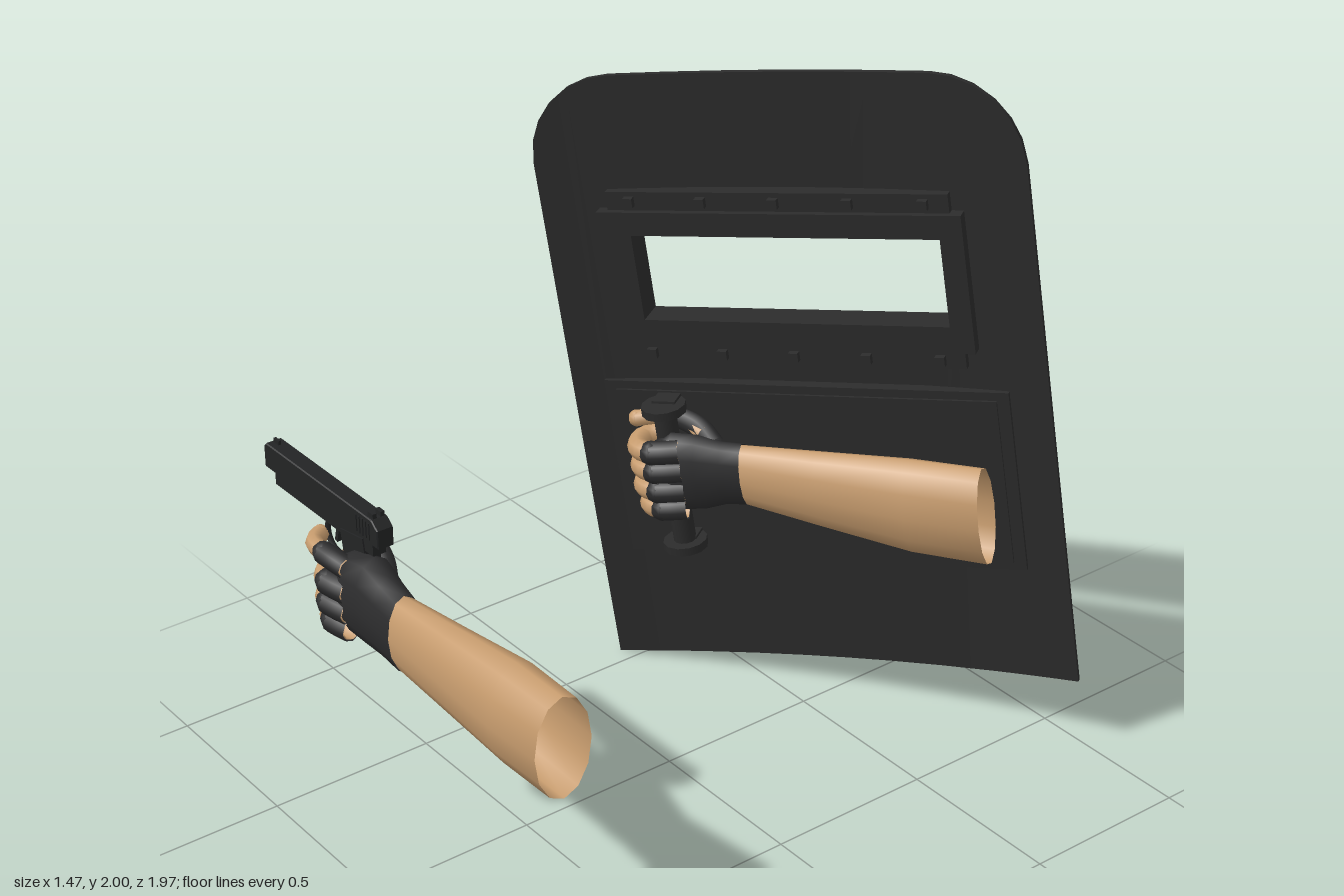
import * as THREE from 'three';
import { mergeGeometries, toCreasedNormals } from 'three/addons/utils/BufferGeometryUtils.js';

const mat = (name, color, side = THREE.FrontSide) => {
  const m = new THREE.MeshStandardMaterial({ color, side });
  m.name = name;
  return m;
};
const shieldMat = mat('shield black', 0x2b2b2b);
const gunMat = mat('gunmetal', 0x232425);
const gloveMat = mat('glove black', 0x2d2d2e, THREE.DoubleSide);
const skinMat = mat('skin', 0xc79c6e, THREE.DoubleSide);

function add(parent, name, geo, material) {
  const mesh = new THREE.Mesh(geo, material);
  mesh.name = name;
  parent.add(mesh);
  return mesh;
}

// Box given by its minimum and maximum on each axis
function block(parent, name, m, x0, x1, y0, y1, z0, z1) {
  const geo = new THREE.BoxGeometry(x1 - x0, y1 - y0, z1 - z0);
  geo.translate((x0 + x1) / 2, (y0 + y1) / 2, (z0 + z1) / 2);
  return add(parent, name, geo, m);
}

// Tube of elliptical sections [x, centre y, centre z, radius y, radius z]
function loft(sections, sides = 12, capFirst = false) {
  const pos = [], idx = [];
  for (const [x, cy, cz, ry, rz] of sections) {
    for (let i = 0; i < sides; i++) {
      const a = (i / sides) * Math.PI * 2;
      pos.push(x, cy + Math.cos(a) * ry, cz + Math.sin(a) * rz);
    }
  }
  for (let s = 0; s < sections.length - 1; s++) {
    for (let i = 0; i < sides; i++) {
      const a = s * sides + i, b = s * sides + (i + 1) % sides;
      idx.push(a, b, a + sides, b, b + sides, a + sides);
    }
  }
  if (capFirst) for (let i = 1; i < sides - 1; i++) idx.push(0, i + 1, i);
  const geo = new THREE.BufferGeometry();
  geo.setAttribute('position', new THREE.Float32BufferAttribute(pos, 3));
  geo.setIndex(idx);
  geo.computeVertexNormals();
  return geo;
}

// Rounded finger following points
function finger(parent, name, points, radius, material) {
  const pts = points.map(p => new THREE.Vector3(...p));
  add(parent, name, new THREE.TubeGeometry(new THREE.CatmullRomCurve3(pts), 12, radius, 8), material);
  const tip = add(parent, name + 'Tip', new THREE.SphereGeometry(radius, 8, 6), material);
  tip.position.copy(pts[pts.length - 1]);
}

// Fist closed round an upright bar at the origin; forearm runs to +x
function makeArm(name, { glove, forearm, fingerHeights, index }) {
  const arm = new THREE.Group();
  arm.name = name;
  add(arm, 'glove', loft(glove, 12, true), gloveMat);
  add(arm, 'forearm', loft(forearm, 12), skinMat);
  fingerHeights.forEach((y, i) => {
    const k = i === 0 ? 0.9 : 1;
    const curl = [[0.05, 0.065], [-0.03, 0.08], [-0.085, 0.045], [-0.085, -0.025], [-0.035, -0.052]];
    const path = curl.map(([x, z]) => [x * k, y, z * k]);
    finger(arm, 'finger', path, 0.031, skinMat);
    finger(arm, 'fingerSleeve', [path[0], [0.01, y, 0.074 * k], path[1]], 0.036, gloveMat);
  });
  if (index) {
    finger(arm, 'indexFinger', [[0.04, 0.1, 0.06], [-0.06, 0.105, 0.07], [-0.12, 0.105, 0.06], [-0.155, 0.1, 0.02]], 0.025, skinMat);
    finger(arm, 'indexSleeve', [[0.04, 0.1, 0.06], [-0.01, 0.104, 0.067], [-0.06, 0.105, 0.07]], 0.031, gloveMat);
  }
  finger(arm, 'thumb', [[0.1, 0.08, -0.01], [0.03, 0.11, -0.045], [-0.05, 0.115, -0.045], [-0.11, 0.11, -0.035]], 0.025, skinMat);
  finger(arm, 'thumbSleeve', [[0.13, 0.05, 0], [0.08, 0.09, -0.03], [0.02, 0.112, -0.046]], 0.033, gloveMat);
  return arm;
}

function makeShield() {
  const shield = new THREE.Group();
  shield.name = 'shield';
  const W = 1.417, H = 1.845, R = 0.25, T = 0.015;
  const win = { x0: 0.265, x1: 1.16, y0: 1.125, y1: 1.385 };
  const bend = x => -0.045 * (1 - ((x - W / 2) / (W / 2)) ** 2);
  const top = x => {
    const d = Math.max(0, R - Math.min(x, W - x));
    return H - R + Math.sqrt(Math.max(0, R * R - d * d));
  };

  // Curved sheet with rounded top corners, made of upright strips around the window
  const cols = [0, 0.01, 0.035, 0.075, 0.13, 0.19, 0.25, win.x0, 0.42, 0.58, W / 2];
  const xs = [...cols, 0.84, 1, win.x1, ...cols.slice(0, 7).reverse().map(x => W - x)].sort((a, b) => a - b);
  const parts = [];
  const strip = (x0, x1, b, t0, t1) => {
    const s = new THREE.Shape([[x0, b], [x1, b], [x1, t1], [x0, t0]].map(p => new THREE.Vector2(...p)));
    parts.push(new THREE.ExtrudeGeometry(s, { depth: T, bevelEnabled: false }));
  };
  for (let i = 0; i < xs.length - 1; i++) {
    const a = xs[i], b = xs[i + 1];
    if (a >= win.x0 && b <= win.x1) {
      strip(a, b, 0, win.y0, win.y0);
      strip(a, b, win.y1, top(a), top(b));
    } else strip(a, b, 0, top(a), top(b));
  }
  const sheet = mergeGeometries(parts);
  const p = sheet.attributes.position;
  for (let i = 0; i < p.count; i++) p.setZ(i, p.getZ(i) - T + bend(p.getX(i)));
  add(shield, 'shieldSheet', toCreasedNormals(sheet, 0.5), shieldMat);

  // Deep window frame
  const rect = (S, x0, x1, y0, y1) => new S([[x0, y0], [x1, y0], [x1, y1], [x0, y1]].map(q => new THREE.Vector2(...q)));
  const outline = rect(THREE.Shape, 0.17, 1.225, 1.045, 1.455);
  outline.holes.push(rect(THREE.Path, win.x0, win.x1, win.y0, win.y1));
  const frame = new THREE.ExtrudeGeometry(outline, { depth: 0.09, bevelEnabled: false });
  add(shield, 'windowFrame', frame.translate(0, 0, -0.075), shieldMat);

  // Bolted rails above and below the window
  for (const [y0, y1] of [[1.455, 1.51], [0.99, 1.045]]) {
    block(shield, 'windowRail', shieldMat, 0.2, 1.19, y0, y1, -0.066, -0.002);
    for (let i = 0; i < 5; i++) {
      const x = 0.27 + i * 0.2125, y = (y0 + y1) / 2;
      block(shield, 'railBolt', shieldMat, x - 0.014, x + 0.014, y - 0.014, y + 0.014, -0.002, 0.016);
    }
  }

  // Lower pad
  block(shield, 'padBase', shieldMat, 0.1, 1.3, 0.36, 0.92, -0.034, -0.002);
  block(shield, 'padFace', shieldMat, 0.135, 1.265, 0.385, 0.895, -0.002, 0.005);

  // Upright grip with flanges, brackets and rear mounting plates
  const bar = add(shield, 'gripBar', new THREE.CylinderGeometry(0.033, 0.033, 0.45, 12), shieldMat);
  bar.position.set(0.3, 0.645, 0.06);
  for (const y of [0.43, 0.87]) {
    const flange = add(shield, 'gripFlange', new THREE.CylinderGeometry(0.065, 0.065, 0.025, 12), shieldMat);
    flange.position.set(0.3, y, 0.06);
    block(shield, 'gripBracket', shieldMat, 0.265, 0.335, y - 0.02, y + 0.02, -0.03, 0.06);
    block(shield, 'rearMount', shieldMat, 0.26, 0.35, y - 0.012, y + 0.012, -0.06, -0.03);
  }

  const arm = makeArm('shieldArm', {
    glove: [[-0.03, -0.02, 0.04, 0.1, 0.035], [0.02, -0.02, 0.035, 0.125, 0.058], [0.09, -0.025, 0.025, 0.12, 0.06],
      [0.16, -0.03, 0.015, 0.1, 0.053], [0.22, -0.035, 0.01, 0.097, 0.054]],
    forearm: [[0.21, -0.035, 0.01, 0.094, 0.05], [0.45, -0.06, 0.03, 0.118, 0.068],
      [0.72, -0.085, 0.055, 0.145, 0.084], [0.94, -0.098, 0.075, 0.148, 0.083]],
    fingerHeights: [-0.125, -0.063, 0, 0.06],
  });
  arm.position.set(0.3, 0.7, 0.05);
  shield.add(arm);

  // Lean and turn the whole assembly
  const U = new THREE.Vector3(0.84, 0.148, -0.522).normalize();
  const N = new THREE.Vector3().crossVectors(U, new THREE.Vector3(-0.111, 0.99, 0.09)).normalize();
  const V = new THREE.Vector3().crossVectors(N, U);
  const m = new THREE.Matrix4().makeBasis(U, V, N).setPosition(-0.55, 0.003, -0.24);
  m.decompose(shield.position, shield.quaternion, shield.scale);
  return shield;
}

// Pistol pointing to -x
function makePistol() {
  const gun = new THREE.Group();
  gun.name = 'pistol';
  const side = new THREE.Shape([[-0.65, 0.985], [-0.1, 0.985], [-0.1, 1.035], [-0.125, 1.055], [-0.64, 1.055], [-0.65, 1.045]]
    .map(p => new THREE.Vector2(...p)));
  const slide = new THREE.ExtrudeGeometry(side, { depth: 0.044, bevelEnabled: true, bevelSize: 0.003, bevelThickness: 0.003, bevelSegments: 1 });
  add(gun, 'slide', slide.translate(0, 0, -0.022), gunMat);
  block(gun, 'lowerFrame', gunMat, -0.61, -0.13, 0.945, 0.985, -0.02, 0.02);
  block(gun, 'frontSight', gunMat, -0.635, -0.61, 1.055, 1.07, -0.004, 0.004);
  for (const z of [-0.012, 0.012]) block(gun, 'rearSight', gunMat, -0.15, -0.125, 1.055, 1.072, z - 0.006, z + 0.006);
  const barrel = add(gun, 'muzzle', new THREE.CylinderGeometry(0.015, 0.015, 0.03, 12), gunMat);
  barrel.rotation.z = Math.PI / 2;
  barrel.position.set(-0.65, 1.02, 0);
  for (let i = 0; i < 5; i++) block(gun, 'slideRidge', gunMat, -0.2 + i * 0.015, -0.193 + i * 0.015, 0.995, 1.045, -0.028, 0.028);
  const grip = block(gun, 'grip', gunMat, -0.055, 0.055, -0.28, 0.02, -0.024, 0.024);
  grip.position.set(-0.225, 0.95, 0);
  grip.rotation.z = 0.17;
  const guard = add(gun, 'triggerGuard', new THREE.TorusGeometry(0.05, 0.008, 6, 16), gunMat);
  guard.position.set(-0.335, 0.905, 0);
  const trigger = block(gun, 'trigger', gunMat, -0.006, 0.006, -0.045, 0.02, -0.006, 0.006);
  trigger.position.set(-0.325, 0.935, 0);
  trigger.rotation.z = -0.25;
  gun.position.z = 0.847;
  return gun;
}

export function createModel() {
  const model = new THREE.Group();
  model.name = 'shieldAndPistolArms';
  model.add(makeShield(), makePistol());
  const arm = makeArm('pistolArm', {
    glove: [[-0.03, 0.01, 0.035, 0.09, 0.035], [0.03, 0.015, 0.03, 0.125, 0.06], [0.12, 0.025, 0.025, 0.135, 0.072],
      [0.2, 0.022, 0.035, 0.122, 0.063], [0.285, 0.015, 0.043, 0.117, 0.056]],
    forearm: [[0.28, 0.015, 0.043, 0.113, 0.052], [0.52, 0.025, 0.043, 0.13, 0.07],
      [0.78, 0.037, 0.043, 0.148, 0.092], [0.97, 0.037, 0.043, 0.148, 0.085]],
    fingerHeights: [-0.085, -0.027, 0.035],
    index: true,
  });
  arm.position.set(-0.24, 0.79, 0.845);
  model.add(arm);
  return model;
}
